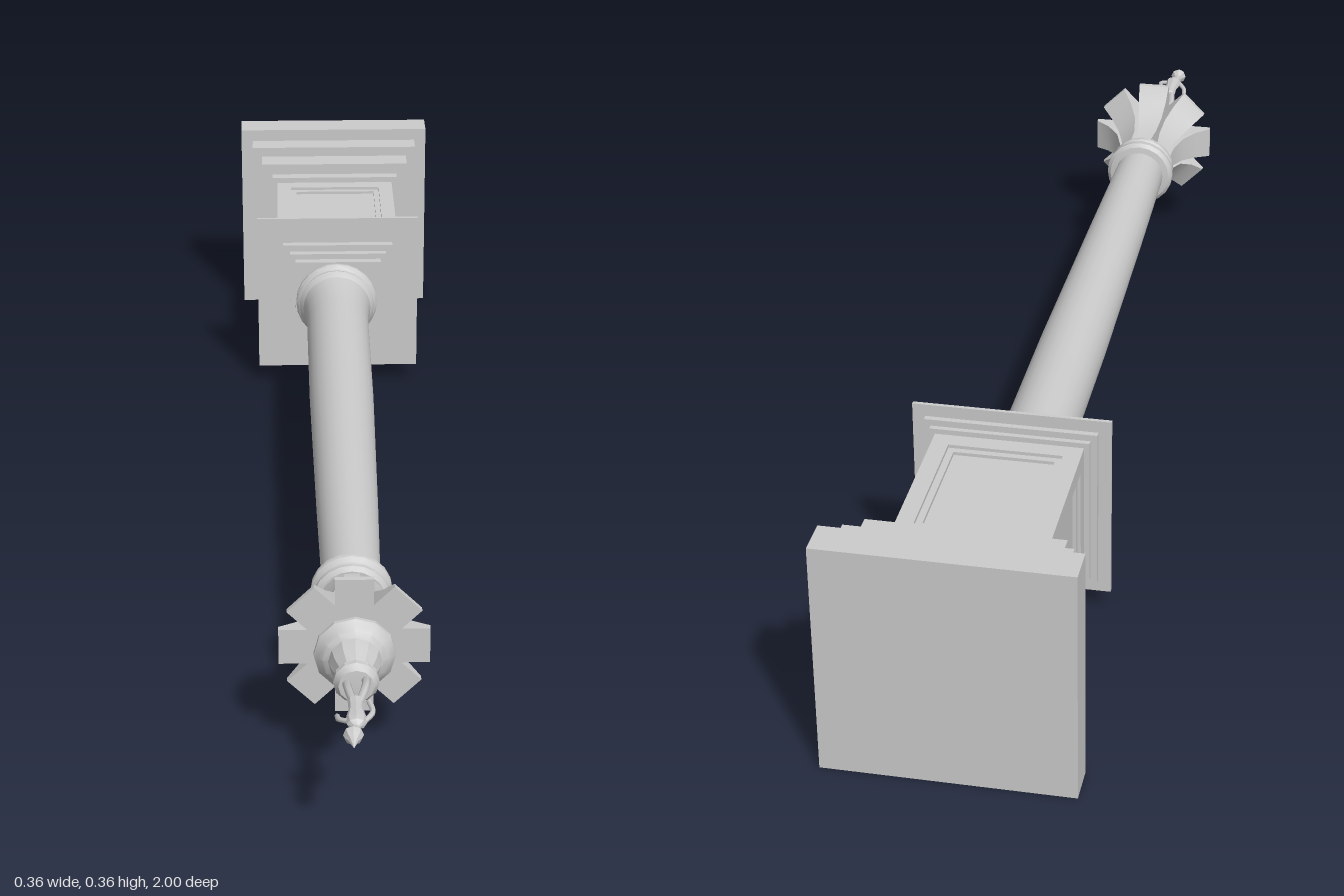
import * as THREE from 'three';
import { toCreasedNormals } from 'three/addons/utils/BufferGeometryUtils.js';

const material = new THREE.MeshStandardMaterial({ color: 0xcccccc, side: THREE.DoubleSide });

function add(parent, name, geometry) {
  const mesh = new THREE.Mesh(geometry, material);
  mesh.name = name;
  parent.add(mesh);
  return mesh;
}

// Square slab around the axis, from y0 to y1
function slab(parent, name, half, y0, y1) {
  add(parent, name, new THREE.BoxGeometry(2 * half, y1 - y0, 2 * half)).position.y = (y0 + y1) / 2;
}

// Turned part from [radius, y] pairs, bottom to top
function turned(parent, name, profile, sides, crease = 0.6) {
  const points = profile.map(([r, y]) => new THREE.Vector2(r, y));
  return add(parent, name, toCreasedNormals(new THREE.LatheGeometry(points, sides), crease));
}

// Rectangular frame with an open middle, lying in the xy plane
function frame(w, h, border, depth) {
  const rect = (target, a, b) => target.moveTo(-a, -b).lineTo(a, -b).lineTo(a, b).lineTo(-a, b).closePath();
  const shape = rect(new THREE.Shape(), w / 2, h / 2);
  shape.holes.push(rect(new THREE.Path(), w / 2 - border, h / 2 - border));
  return new THREE.ExtrudeGeometry(shape, { depth, bevelEnabled: false });
}

// Leaf with a flared outer edge that widens towards its flat tip
function leafGeometry() {
  const s = new THREE.Shape();
  s.moveTo(0.028, 0.585).lineTo(0.046, 0.585).lineTo(0.05, 0.63).lineTo(0.062, 0.665);
  s.lineTo(0.083, 0.69).lineTo(0.107, 0.706).lineTo(0.107, 0.715).lineTo(0.04, 0.715).closePath();
  const g = new THREE.ExtrudeGeometry(s, { depth: 1, bevelEnabled: false });
  const p = g.attributes.position;
  for (let i = 0; i < p.count; i++) {
    const t = Math.min(1, (p.getY(i) - 0.585) / 0.12);
    p.setZ(i, (p.getZ(i) - 0.5) * (0.02 + 0.035 * t));
  }
  return toCreasedNormals(g, 0.5);
}

function limb(parent, name, points, radius) {
  const curve = new THREE.CatmullRomCurve3(points.map(p => new THREE.Vector3(...p)));
  add(parent, name, new THREE.TubeGeometry(curve, 8, radius, 6, false));
}

export function createModel() {
  const model = new THREE.Group();
  model.name = 'monumentColumn';

  // The column is built upright, then laid along z
  const column = new THREE.Group();
  column.name = 'column';
  column.rotation.x = Math.PI / 2;
  column.position.y = 0.18;
  model.add(column);

  // Stepped plinth
  [[0.18, -1, -0.945], [0.158, -0.945, -0.905], [0.14, -0.905, -0.86], [0.12, -0.86, -0.84]]
    .forEach(([h, a, b]) => slab(column, 'plinthStep', h, a, b));

  // Pedestal with a sunk panel on each side
  slab(column, 'pedestalCore', 0.1, -0.84, -0.58);
  for (let i = 0; i < 4; i++) {
    const side = new THREE.Group();
    side.name = 'pedestalSide';
    side.position.y = -0.71;
    side.rotation.y = i * Math.PI / 2;
    add(side, 'panelFrame', frame(0.22, 0.26, 0.026, 0.01)).position.z = 0.1;
    add(side, 'panelMoulding', frame(0.168, 0.208, 0.01, 0.005)).position.z = 0.1;
    column.add(side);
  }

  // Cornice plate and the square steps above it
  [[0.118, -0.58, -0.572], [0.128, -0.572, -0.563], [0.147, -0.563, -0.557], [0.1, -0.557, -0.543],
    [0.088, -0.543, -0.53], [0.078, -0.53, -0.515]]
    .forEach(([h, a, b]) => slab(column, 'corniceStep', h, a, b));

  // Round parts share a slightly shifted axis
  const round = new THREE.Group();
  round.name = 'roundParts';
  round.position.set(-0.003, 0, -0.003);
  column.add(round);

  turned(round, 'shaftBase', [[0, -0.518], [0.07, -0.518], [0.074, -0.512], [0.074, -0.506], [0.07, -0.5],
    [0.066, -0.498], [0.068, -0.49], [0.064, -0.482], [0.058, -0.475], [0, -0.475]], 24);
  turned(round, 'shaft', [[0.062, -0.485], [0.057, -0.45], [0.055, -0.4], [0.054, -0.1],
    [0.048, 0.3], [0.043, 0.56]], 24);
  turned(round, 'neckRing', [[0.043, 0.545], [0.054, 0.547], [0.06, 0.553], [0.06, 0.562], [0.054, 0.568],
    [0.052, 0.572], [0.057, 0.578], [0.057, 0.585], [0.05, 0.59], [0, 0.59]], 20);

  // Capital with eight leaves
  turned(round, 'capitalCore', [[0.036, 0.585], [0.036, 0.66], [0.045, 0.716], [0, 0.716]], 16);
  const leaf = leafGeometry();
  for (let i = 0; i < 8; i++) add(round, 'capitalLeaf', leaf).rotation.y = i * Math.PI / 4;

  // Finial stand
  turned(round, 'finialStand', [[0, 0.714], [0.042, 0.714], [0.046, 0.728], [0.058, 0.732], [0.058, 0.738],
    [0.052, 0.745], [0.046, 0.752], [0.038, 0.757], [0.034, 0.775], [0.024, 0.8], [0.032, 0.804],
    [0.032, 0.812], [0.025, 0.822], [0, 0.824]], 12, 0.45);

  // Small standing figure
  const figure = new THREE.Group();
  figure.name = 'figure';
  figure.position.z = -0.016;
  round.add(figure);
  limb(figure, 'leftLeg', [[0.013, 0.818, 0.006], [0.012, 0.85, -0.002], [0.002, 0.89, 0]], 0.006);
  limb(figure, 'rightLeg', [[-0.014, 0.818, 0.012], [-0.012, 0.848, 0.004], [-0.006, 0.89, 0]], 0.006);
  limb(figure, 'leftArm', [[0.008, 0.935, 0], [0.019, 0.92, -0.004], [0.015, 0.895, -0.006]], 0.004);
  limb(figure, 'rightArm', [[-0.014, 0.935, 0], [-0.026, 0.92, 0.006], [-0.028, 0.9, 0.014]], 0.004);
  limb(figure, 'drape', [[-0.006, 0.91, 0.004], [-0.004, 0.865, 0.018], [0, 0.835, 0.03]], 0.004);
  const torso = turned(figure, 'torso', [[0, 0.875], [0.011, 0.882], [0.01, 0.905], [0.015, 0.932],
    [0.013, 0.942], [0.005, 0.948], [0.004, 0.96]], 8);
  torso.scale.z = 0.7;
  torso.position.x = -0.003;
  const head = turned(figure, 'head', [[0, 0.953], [0.008, 0.957], [0.014, 0.968], [0.011, 0.976],
    [0.006, 0.983], [0, 1]], 8);
  head.position.x = -0.008;

  return model;
}
